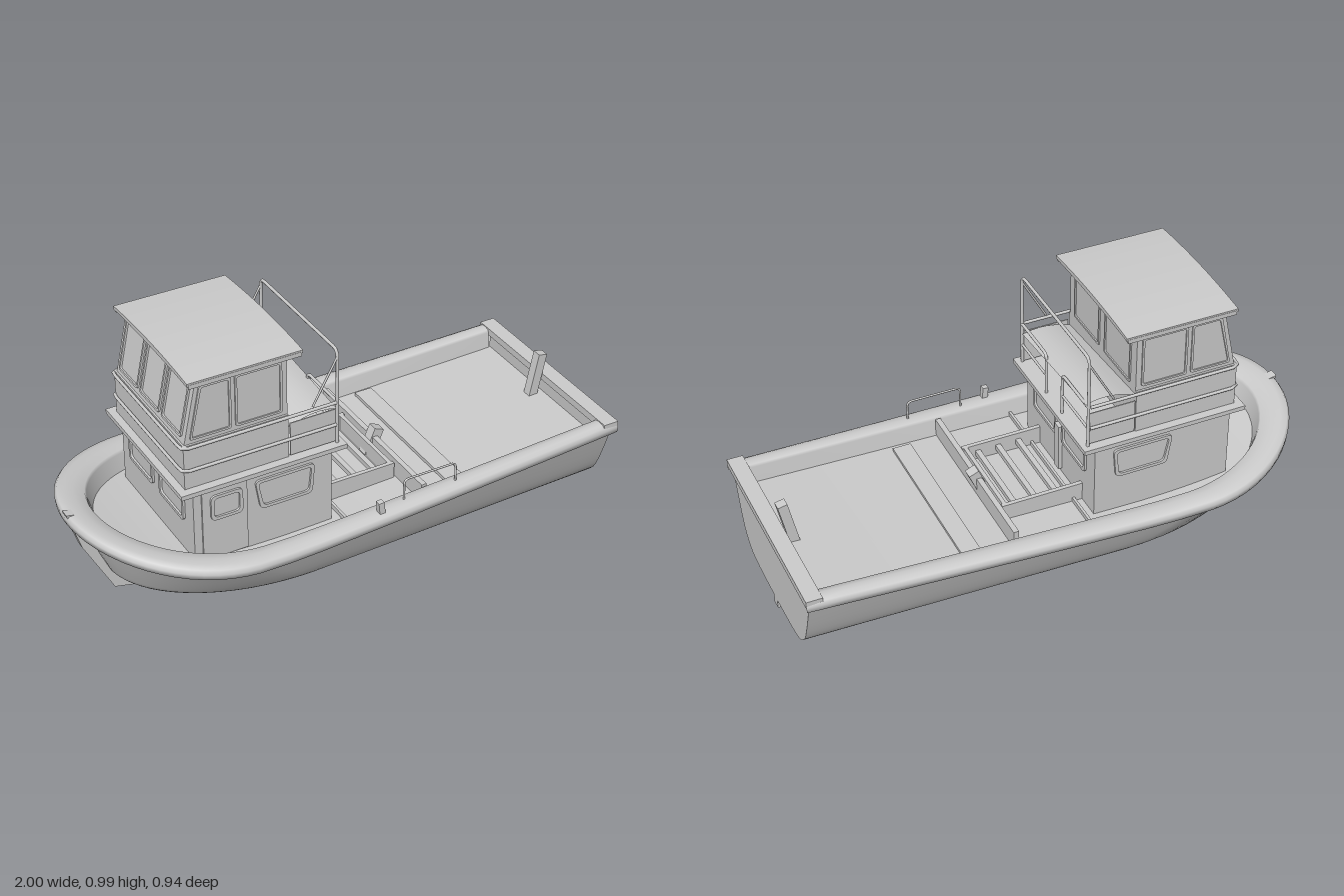
import * as THREE from 'three';

const V = (x, y, z) => new THREE.Vector3(x, y, z);
const lerp = THREE.MathUtils.lerp;
const grey = new THREE.MeshStandardMaterial({ color: 0xcccccc });
const thin = new THREE.MeshStandardMaterial({ color: 0xcccccc, side: THREE.DoubleSide });

// Height of the rail top along the boat (bow at -x)
const sheer = x => x > -0.3
  ? 0.315 + 0.045 * Math.pow((x + 0.3) / 1.3, 1.2)
  : 0.315 + 0.095 * Math.pow((-0.3 - x) / 0.7, 2.2);

// Half outline in plan: elliptical bow, then straight to the stern
function outline(x0, len, b0, b1, x1) {
  const pts = [];
  for (let i = 0; i <= 16; i++) {
    const a = (i / 16) * Math.PI / 2;
    pts.push([x0 + len * (1 - Math.cos(a)), b0 * Math.sin(a)]);
  }
  for (let i = 1; i <= 12; i++) pts.push([lerp(x0 + len, x1, i / 12), lerp(b0, b1, i / 12)]);
  return pts;
}

// Smooth surface through rows of points
function surface(rows) {
  const n = rows[0].length, pos = [], idx = [];
  rows.forEach(r => r.forEach(p => pos.push(p.x, p.y, p.z)));
  for (let i = 0; i < rows.length - 1; i++) for (let j = 0; j < n - 1; j++) {
    const a = i * n + j, b = a + n;
    idx.push(a, b, a + 1, b, b + 1, a + 1);
  }
  const g = new THREE.BufferGeometry();
  g.setAttribute('position', new THREE.Float32BufferAttribute(pos, 3));
  g.setIndex(idx);
  g.computeVertexNormals();
  return g;
}

function interp(table, v) {
  for (let i = 1; i < table.length; i++) {
    const [a, b] = [table[i - 1], table[i]];
    if (v <= b[0]) return lerp(a[1], b[1], Math.max(0, (v - a[0]) / (b[0] - a[0])));
  }
  return table[table.length - 1][1];
}

// Polygon with rounded corners
function roundPoly(pts, r, Type = THREE.Shape) {
  const s = new Type(), n = pts.length, P = pts.map(p => new THREE.Vector2(...p));
  const toward = (a, b) => a.clone().add(b.clone().sub(a).setLength(r));
  for (let i = 0; i < n; i++) {
    const c = P[i], a = toward(c, P[(i + n - 1) % n]), b = toward(c, P[(i + 1) % n]);
    if (i) s.lineTo(a.x, a.y); else s.moveTo(a.x, a.y);
    s.quadraticCurveTo(c.x, c.y, b.x, b.y);
  }
  s.closePath();
  return s;
}

export function createModel() {
  const root = new THREE.Group();
  const add = (name, geo, mat = grey) => {
    const m = new THREE.Mesh(geo, mat);
    m.name = name;
    root.add(m);
    return m;
  };
  // Box given by its limits on each axis
  const box = (name, x0, x1, y0, y1, z0, z1) => {
    const m = add(name, new THREE.BoxGeometry(x1 - x0, y1 - y0, z1 - z0));
    m.position.set((x0 + x1) / 2, (y0 + y1) / 2, (z0 + z1) / 2);
    return m;
  };
  // Pipe through straight runs with rounded bends
  const pipe = (name, pts, r = 0.005, bend = 0.025) => {
    const path = new THREE.CurvePath();
    let last = pts[0];
    for (let i = 1; i < pts.length - 1; i++) {
      const c = pts[i];
      const a = c.clone().add(pts[i - 1].clone().sub(c).setLength(bend));
      const b = c.clone().add(pts[i + 1].clone().sub(c).setLength(bend));
      path.add(new THREE.LineCurve3(last, a));
      path.add(new THREE.QuadraticBezierCurve3(a, c, b));
      last = b;
    }
    path.add(new THREE.LineCurve3(last, pts[pts.length - 1]));
    return add(name, new THREE.TubeGeometry(path, pts.length * 16, r, 8));
  };
  // Raised window frame; local z points outwards
  const frame = (name, pts, pos, ry, rx = 0, w = 0.012, r = 0.02) => {
    const cx = pts.reduce((s, p) => s + p[0], 0) / pts.length;
    const cy = pts.reduce((s, p) => s + p[1], 0) / pts.length;
    const inner = pts.map(([x, y]) => [x - Math.sign(x - cx) * w, y - Math.sign(y - cy) * w]);
    const shape = roundPoly(pts, r);
    shape.holes.push(roundPoly(inner, r * 0.8, THREE.Path));
    const m = add(name, new THREE.ExtrudeGeometry(shape, { depth: 0.008, bevelEnabled: false, curveSegments: 5 }));
    m.position.copy(pos);
    m.rotation.set(rx, ry, 0, 'YXZ');
  };
  const rect = (x0, x1, y0, y1) => [[x0, y0], [x1, y0], [x1, y1], [x0, y1]];
  const profile = (name, pts, width) => {
    const g = new THREE.ExtrudeGeometry(new THREE.Shape(pts.map(p => new THREE.Vector2(...p))), { depth: width, bevelEnabled: false });
    return add(name, g.translate(0, 0, -width / 2));
  };

  // Hull: each row runs bow to stern at one level of the section
  const section = new THREE.SplineCurve([[0, 0], [0.54, 0.03], [0.74, 0.17], [0.85, 0.42], [1, 1]].map(p => new THREE.Vector2(...p)));
  const stem = [[0, -0.72], [0.05, -0.77], [0.25, -0.85], [0.6, -0.9], [1, -0.95]];
  const hullRow = (t, side) => {
    const { x: r, y } = section.getPoint(t), v = Math.max(0, y);
    return outline(interp(stem, v), lerp(0.65, 0.46, v), 0.44 * r, 0.4 * r, 0.985)
      .map(([x, z]) => V(x, 0.035 + v * (sheer(x) - 0.06), side * z));
  };
  const levels = Array.from({ length: 17 }, (_, i) => i / 16);
  const port = levels.map(t => hullRow(t, 1)), starboard = levels.map(t => hullRow(t, -1));
  add('hull', surface([...port.slice().reverse(), ...starboard.slice(1)]), thin);
  const sternEdge = rows => rows.map(r => r[r.length - 1]);
  add('transom', surface([sternEdge(port), sternEdge(starboard)]), thin);
  profile('keelAndStem', [[0.985, 0], [-0.68, 0.003], [-0.84, 0.04], [-0.95, 0.25], [-1, 0.405], [-0.93, 0.39],
    [-0.89, 0.25], [-0.83, 0.13], [-0.75, 0.06], [-0.62, 0.045], [0.985, 0.045]], 0.036);

  // Rail cap and inner bulwark: offsets across the rail [inset 0..1, drop]
  const railSteps = [[0.3, 0.045], [0.02, 0.045], [0, 0.025], [0.08, 0.01], [0.3, 0.002], [0.6, 0], [0.95, 0.004], [1, 0.015], [1.2, 0.085]];
  const ring = (k, drop) => {
    const half = outline(-1 + 0.11 * k, 0.5 - 0.05 * k, 0.47 - 0.09 * k, 0.415 - 0.06 * k, 1 - 0.06 * Math.min(k, 1));
    const pts = half.map(([x, z]) => V(x, sheer(x) - drop, z));
    return [...pts.slice(1).reverse(), ...pts.map(p => V(p.x, p.y, -p.z))];
  };
  add('railAndBulwark', surface(railSteps.map(([k, d]) => ring(k, d))), thin);
  box('sternRail', 0.94, 1, 0.332, 0.36, -0.413, 0.413);
  box('sternBulwark', 0.945, 0.98, 0.26, 0.335, -0.35, 0.35);
  const deckHalf = outline(-0.87, 0.44, 0.37, 0.35, 0.96);
  add('deck', surface([1, -1].map(s => deckHalf.map(([x, z]) => V(x, sheer(x) - 0.075, s * z)))), thin);

  // Lower cabin and its roof slab
  box('lowerCabin', -0.65, -0.12, 0.23, 0.54, -0.28, 0.28);
  box('cabinRoof', -0.7, -0.07, 0.538, 0.555, -0.3, 0.3);
  const bigWindow = [[-0.4, 0.39], [-0.2, 0.39], [-0.19, 0.51], [-0.42, 0.51]];
  frame('sideWindow', bigWindow, V(0, 0, 0.28), 0);
  frame('sideWindow', bigWindow.map(([x, y]) => [-x, y]).reverse(), V(0, 0, -0.28), Math.PI);
  frame('doorWindow', rect(-0.59, -0.47, 0.41, 0.51), V(0, 0, 0.286), 0);
  box('cabinDoor', -0.62, -0.45, 0.25, 0.53, 0.275, 0.286);
  for (const s of [1, -1]) {
    const w = s > 0 ? rect(0.025, 0.215, 0.385, 0.507) : rect(-0.215, -0.025, 0.385, 0.507);
    frame('aftWindow', w, V(-0.12, 0, 0), Math.PI / 2);
    frame('foreWindow', w, V(-0.65, 0, 0), -Math.PI / 2);
  }
  box('aftPost', -0.125, -0.105, 0.26, 0.45, -0.018, 0.018);

  // Wheelhouse with raked front and crowned roof
  box('wheelhouseBase', -0.672, -0.28, 0.55, 0.725, -0.268, 0.268);
  profile('wheelhouse', [[-0.28, 0.7], [-0.28, 0.965], [-0.615, 0.965], [-0.67, 0.7]], 0.52);
  for (const s of [1, -1]) {
    const flip = pts => s > 0 ? pts : pts.map(([x, y]) => [-x, y]).reverse();
    frame('wheelhouseSideWindow', flip([[-0.645, 0.74], [-0.49, 0.74], [-0.49, 0.94], [-0.605, 0.94]]), V(0, 0, s * 0.257), s > 0 ? 0 : Math.PI, 0, 0.008, 0.01);
    frame('wheelhouseSideWindow', flip(rect(-0.475, -0.3, 0.74, 0.94)), V(0, 0, s * 0.257), s > 0 ? 0 : Math.PI, 0, 0.008, 0.01);
    frame('wheelhouseAftWindow', s > 0 ? rect(0.02, 0.22, 0.735, 0.938) : rect(-0.22, -0.02, 0.735, 0.938), V(-0.283, 0, 0), Math.PI / 2, 0, 0.008, 0.01);
  }
  for (const c of [-0.165, 0, 0.165])
    frame('wheelhouseFrontWindow', rect(c - 0.073, c + 0.073, 0.01, 0.21), V(-0.662, 0.735, 0), -Math.PI / 2, -0.205, 0.008, 0.01);
  const crown = new THREE.Shape();
  crown.moveTo(-0.28, 0.96);
  crown.quadraticCurveTo(0, 0.975, 0.28, 0.96);
  crown.lineTo(0.28, 0.972);
  crown.quadraticCurveTo(0, 0.998, -0.28, 0.972);
  const roof = add('wheelhouseRoof', new THREE.ExtrudeGeometry(crown, { depth: 0.425, bevelEnabled: false }));
  roof.rotation.y = Math.PI / 2;
  roof.position.x = -0.655;
  for (const s of [1, -1]) box('roofGutter', -0.65, -0.235, 0.95, 0.966, s * 0.274 - 0.007, s * 0.274 + 0.007);

  // Upper deck rails, side cloths, hoop and awning
  for (const y of [0.63, 0.72])
    pipe('wrapRail', [V(-0.1, y, 0.275), V(-0.68, y, 0.275), V(-0.68, y, -0.275), V(-0.1, y, -0.275)], 0.006);
  for (const s of [1, -1]) {
    box('sideCloth', -0.275, -0.1, 0.56, 0.69, s * 0.268 - 0.002, s * 0.268 + 0.002);
    pipe('aftRail', [V(-0.095, 0.55, s * 0.065), V(-0.095, 0.72, s * 0.065), V(-0.095, 0.72, s * 0.275)], 0.006);
    pipe('aftMidRail', [V(-0.095, 0.63, s * 0.065), V(-0.095, 0.63, s * 0.275)]);
    pipe('hoopStay', [V(-0.095, 0.9, s * 0.272), V(-0.19, 0.73, s * 0.272)], 0.004);
  }
  pipe('hoop', [V(-0.095, 0.55, 0.272), V(-0.095, 0.925, 0.272), V(-0.095, 0.925, -0.272), V(-0.095, 0.55, -0.272)], 0.006);
  const awning = [0, 1, 2, 3, 4, 5, 6].map(i => [0.26, 0, -0.26].map(z =>
    V(lerp(-0.28, -0.09, i / 6), 0.69 + 0.025 * Math.sin(i / 6 * Math.PI * 0.8) - z * 0.08, z)));
  add('awning', surface(awning), thin);

  // Hatch frame, beams and slats on the working deck
  for (const s of [1, -1]) box('hatchSide', -0.12, 0.19, 0.24, 0.315, s * 0.178 - 0.008, s * 0.178 + 0.008);
  for (const x of [-0.03, 0.05, 0.13]) box('hatchSlat', x - 0.01, x + 0.01, 0.27, 0.29, -0.175, 0.175);
  box('hatchEnd', 0.17, 0.185, 0.24, 0.315, -0.178, 0.178);
  box('crossBeam', 0.197, 0.217, 0.25, 0.325, -0.34, 0.36);
  box('deckStrip', 0.33, 0.4, 0.25, 0.272, -0.335, 0.33);
  box('deckStep', -0.09, -0.08, 0.24, 0.262, -0.37, 0.37);

  // Posts and the side grab rail
  const post = (name, x, y, z, w, h, lean) => {
    const m = add(name, new THREE.BoxGeometry(w, h, w));
    m.position.set(x, y, z);
    m.rotation.z = lean;
  };
  post('sternPost', 0.915, 0.35, 0, 0.036, 0.2, -0.2);
  post('towPost', 0.205, 0.3, 0, 0.04, 0.11, -0.4);
  post('sidePost', -0.005, 0.335, 0.42, 0.022, 0.06, 0.1);
  pipe('grabRail', [V(0.1, 0.31, 0.4), V(0.1, 0.407, 0.4), V(0.31, 0.407, 0.4), V(0.31, 0.31, 0.4)], 0.004, 0.02);
  return root;
}
